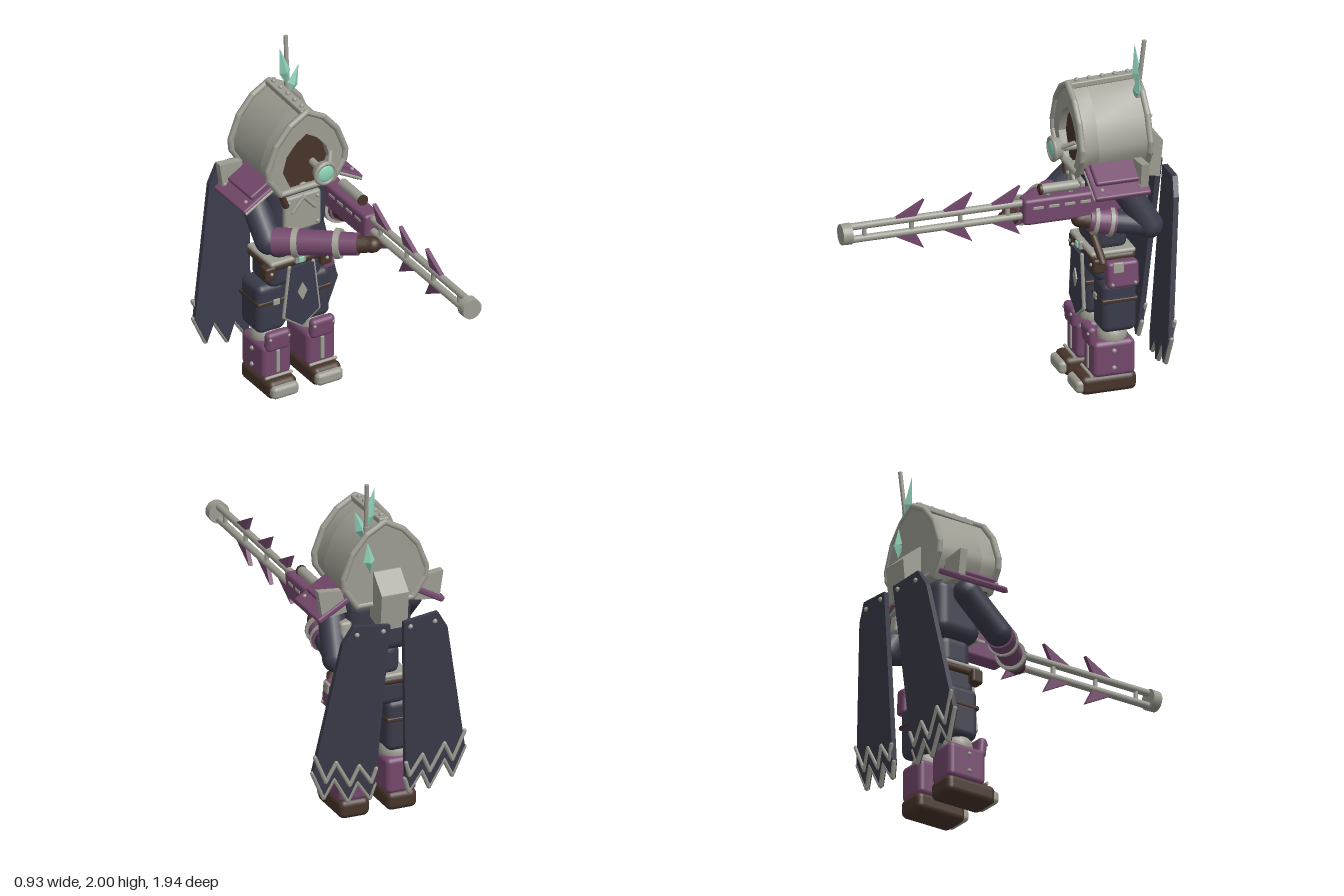
import * as THREE from 'three';
import { toCreasedNormals } from 'three/addons/utils/BufferGeometryUtils.js';
import { RoundedBoxGeometry } from 'three/addons/geometries/RoundedBoxGeometry.js';

const material = (name, color) => {
  const m = new THREE.MeshStandardMaterial({ color });
  m.name = name;
  return m;
};
const steel = material('pale steel', 0x9c9c92);
const purple = material('plum plate', 0x74486c);
const navy = material('navy cloth', 0x3a3b4a);
const brown = material('brown leather', 0x47342a);
const teal = material('teal crystal', 0x8fd1b8);

const V = (p) => new THREE.Vector3(...p);

function add(parent, name, geo, mat, pos = [0, 0, 0], rot = [0, 0, 0]) {
  const m = new THREE.Mesh(geo, mat);
  m.name = name;
  m.position.set(...pos);
  m.rotation.set(...rot);
  parent.add(m);
  return m;
}
const block = (p, name, mat, size, pos, r = 0.02, rot) =>
  add(p, name, new RoundedBoxGeometry(...size, 3, Math.min(r, Math.min(...size) * 0.49)), mat, pos, rot);
const rivet = (p, pos, r = 0.012, mat = steel) => add(p, 'rivet', new THREE.SphereGeometry(r, 10, 8), mat, pos);

// Cylinder running from a to b
function rod(p, name, mat, a, b, r0, r1 = r0, sides = 14) {
  const d = V(b).sub(V(a));
  const m = add(p, name, new THREE.CylinderGeometry(r1, r0, d.length(), sides), mat);
  m.position.copy(V(a)).addScaledVector(d, 0.5);
  m.quaternion.setFromUnitVectors(new THREE.Vector3(0, 1, 0), d.normalize());
  return m;
}
// Rounded limb running from a to b
function limb(p, name, mat, a, b, r) {
  const m = rod(p, name, mat, a, b, r);
  m.geometry = new THREE.CapsuleGeometry(r, V(a).distanceTo(V(b)), 6, 18);
}
// Jointed trim along a list of points
function trim(p, name, mat, pts, r) {
  const g = new THREE.Group();
  g.name = name;
  pts.forEach((a, i) => {
    add(g, 'joint', new THREE.SphereGeometry(r, 8, 6), mat, a);
    if (i) rod(g, 'bar', mat, pts[i - 1], a, r, r, 8);
  });
  p.add(g);
}
const shapeOf = (pts) => new THREE.Shape(pts.map(([x, y]) => new THREE.Vector2(x, y)));
const slab = (shape, depth) => new THREE.ExtrudeGeometry(shape, { depth, bevelEnabled: false });
const mirrored = (half) => [...half, ...half.filter(([x]) => x > 0).reverse().map(([x, y]) => [-x, y])];

function buildLeg(root, s) {
  const g = new THREE.Group();
  g.name = s > 0 ? 'leftLeg' : 'rightLeg';
  g.position.x = s * 0.14;
  root.add(g);
  block(g, 'boot', brown, [0.18, 0.11, 0.32], [0, 0.055, -0.56], 0.035);
  block(g, 'toeCap', steel, [0.165, 0.075, 0.08], [0, 0.052, -0.412], 0.025);
  rod(g, 'bootBar', steel, [-0.085, 0.113, -0.46], [0.085, 0.113, -0.46], 0.009);
  block(g, 'shinArmour', purple, [0.18, 0.21, 0.24], [0, 0.2, -0.59], 0.03);
  block(g, 'shinStrip', steel, [0.022, 0.14, 0.02], [0, 0.2, -0.47], 0.005);
  add(g, 'kneeJoint', new THREE.SphereGeometry(0.085, 20, 14), steel, [0, 0.31, -0.6]);
  block(g, 'kneePlate', purple, [0.15, 0.12, 0.055], [0, 0.33, -0.475], 0.025, [0.1, 0, 0]);
  block(g, 'thigh', navy, [0.18, 0.3, 0.2], [0, 0.5, -0.62], 0.04);
  block(g, 'thighStrap', brown, [0.186, 0.025, 0.206], [0, 0.54, -0.62], 0.008);
  block(g, 'strapBuckle', steel, [0.04, 0.035, 0.012], [-s * 0.02, 0.54, -0.515], 0.004);
  for (const y of [0.15, 0.25]) rivet(g, [s * 0.092, y, -0.585], 0.013);
  for (const x of [-0.058, 0.058]) rivet(g, [x, 0.355, -0.448], 0.01);
}

function buildTorso(root) {
  const g = new THREE.Group();
  g.name = 'torso';
  root.add(g);
  block(g, 'pelvis', navy, [0.34, 0.17, 0.22], [0, 0.71, -0.61], 0.05);
  block(g, 'abdomen', navy, [0.28, 0.2, 0.21], [0, 0.89, -0.6], 0.06);
  block(g, 'chest', navy, [0.38, 0.34, 0.3], [0, 1.13, -0.61], 0.07);
  block(g, 'chestPlate', steel, [0.23, 0.22, 0.04], [0, 1.11, -0.455], 0.015);
  trim(g, 'chestChevron', steel, [[-0.07, 1.13, -0.43], [0, 1.21, -0.43], [0.07, 1.13, -0.43]], 0.011);
  rivet(g, [0, 1.27, -0.44], 0.028);
  for (const x of [-0.09, 0.09]) for (const y of [1.03, 1.19]) rivet(g, [x, y, -0.434]);
  rod(g, 'sash', brown, [-0.15, 1.29, -0.43], [-0.11, 1.18, -0.43], 0.018);
  rod(g, 'sash', brown, [0.11, 0.92, -0.5], [0.21, 0.76, -0.53], 0.022);
  // Belt, buckle and pouches
  block(g, 'leatherBelt', brown, [0.37, 0.05, 0.25], [0, 0.775, -0.605], 0.03);
  block(g, 'steelBelt', steel, [0.36, 0.03, 0.26], [0, 0.803, -0.6], 0.015);
  block(g, 'buckle', steel, [0.065, 0.05, 0.03], [0, 0.803, -0.47], 0.008);
  block(g, 'buckleGem', teal, [0.034, 0.034, 0.012], [0, 0.803, -0.452], 0.004);
  for (const s of [-1, 1]) {
    block(g, 'pouch', brown, [0.07, 0.085, 0.07], [s * 0.175, 0.745, -0.51], 0.015);
    rivet(g, [s * 0.175, 0.75, -0.473], 0.01);
  }
  // Hanging front cloth
  const hem = [[0.075, 0.77], [0.11, 0.47], [0, 0.39], [-0.11, 0.47], [-0.075, 0.77]];
  add(g, 'tabard', slab(shapeOf(hem), 0.02), navy, [0, 0, -0.465]);
  trim(g, 'tabardTrim', steel, hem.map(([x, y]) => [x, y, -0.455]), 0.011);
  add(g, 'tabardDiamond', slab(shapeOf([[0, 0.555], [0.03, 0.61], [0, 0.665], [-0.03, 0.61]]), 0.008), steel, [0, 0, -0.446]);
  // Single hip plate on the left side
  const hip = new THREE.Group();
  hip.name = 'hipPlate';
  hip.position.set(0.225, 0.7, -0.63);
  hip.rotation.z = 0.08;
  g.add(hip);
  block(hip, 'plate', purple, [0.075, 0.15, 0.18], [0, 0, 0], 0.02);
  block(hip, 'plateClasp', steel, [0.02, 0.06, 0.06], [0.036, 0.045, 0.03], 0.006);
  for (const z of [-0.065, 0.065]) rivet(hip, [0.038, -0.05, z], 0.01);
}

function buildHood(root) {
  const g = new THREE.Group();
  g.name = 'hood';
  root.add(g);
  const half = [[0.155, 1.28], [0.225, 1.39], [0.23, 1.45], [0.18, 1.59], [0.1, 1.69], [0, 1.75]];
  const outline = mirrored(half);
  const opening = mirrored([[0.09, 1.285], [0.15, 1.42], [0.125, 1.51], [0.065, 1.58], [0, 1.62]]);
  const mouth = shapeOf(outline);
  mouth.holes.push(new THREE.Path(opening.map(([x, y]) => new THREE.Vector2(x, y))));
  add(g, 'hoodFront', toCreasedNormals(slab(mouth, 0.1), 0.6), steel, [0, 0, -0.5]);
  add(g, 'hoodShell', toCreasedNormals(slab(shapeOf(outline), 0.3), 0.6), steel, [0, 0, -0.8]);
  add(g, 'faceShadow', slab(shapeOf(opening), 0.008), brown, [0, 0, -0.45]);
  for (const z of [-0.4, -0.79]) {
    const pts = outline.map(([x, y]) => [x * 1.06, y + 0.008, z]);
    trim(g, 'hoodRim', steel, [...pts, pts[0]], 0.018);
  }
  // Ridge strip with rivets
  block(g, 'ridgeStrip', steel, [0.06, 0.035, 0.38], [0, 1.755, -0.595], 0.008, [0.03, 0, 0]);
  for (let i = 0; i < 5; i++) rivet(g, [0, 1.772 + i * 0.002, -0.45 - i * 0.073], 0.014);
  // Goggle on a bracket
  const ring = [Math.PI / 2, 0, 0];
  add(g, 'goggleHousing', new THREE.CylinderGeometry(0.07, 0.055, 0.045, 24), steel, [0.055, 1.41, -0.315], ring);
  add(g, 'goggleRing', new THREE.TorusGeometry(0.06, 0.013, 8, 24), steel, [0.055, 1.41, -0.293]);
  add(g, 'goggleLens', new THREE.SphereGeometry(0.055, 20, 12), teal, [0.055, 1.41, -0.295]).scale.z = 0.35;
  rod(g, 'goggleStem', steel, [0.055, 1.41, -0.34], [0.06, 1.41, -0.45], 0.02);
  rod(g, 'goggleArm', steel, [0.1, 1.43, -0.325], [0.145, 1.47, -0.39], 0.012);
  // Back pack box
  const pack = slab(shapeOf([[0.76, 1.2], [0.9, 1.17], [0.92, 1.38], [0.81, 1.48], [0.76, 1.48]]), 0.16);
  add(g, 'backBox', pack.rotateY(Math.PI / 2), steel, [-0.085, 0, 0]);
  // Mast with crystal leaves
  rod(g, 'mast', steel, [0.1, 1.6, -0.755], [0.11, 2, -0.8], 0.012);
  rod(g, 'mastSocket', steel, [0.1, 1.62, -0.757], [0.102, 1.74, -0.77], 0.018);
  const leaves = [
    [[0.105, 1.7, -0.765], [0.05, 1.955, -0.765]],
    [[0.1, 1.65, -0.755], [0.16, 1.83, -0.75]],
    [[0.1, 1.48, -0.82], [0.11, 1.66, -0.81]],
  ];
  for (const [a, b] of leaves) {
    const mid = V(a).lerp(V(b), 0.4).toArray();
    for (const end of [a, b]) {
      const half = rod(g, 'crystalLeaf', teal, mid, end, 0.034, 0.001, 4);
      half.geometry = half.geometry.toNonIndexed();
      half.geometry.computeVertexNormals();
      half.scale.z = 0.75;
    }
  }
}

function buildShoulder(root, s) {
  const g = new THREE.Group();
  g.name = s > 0 ? 'leftShoulder' : 'rightShoulder';
  root.add(g);
  block(g, 'pauldron', purple, [0.23, 0.035, 0.32], [s * 0.272, 1.268, -0.59], 0.012, [0, 0, -s * 0.52]);
  block(g, 'pauldronLayer', purple, [0.17, 0.035, 0.27], [s * 0.24, 1.315, -0.59], 0.012, [0, 0, -s * 0.52]);
  rod(g, 'pauldronEdge', steel, [s * 0.19, 1.31, -0.432], [s * 0.365, 1.21, -0.432], 0.009);
  for (const z of [-0.48, -0.7]) rivet(g, [s * 0.335, 1.253, z], 0.012);
  const fin = [[0.2, 1.24], [0.23, 1.37], [0.37, 1.385], [0.345, 1.22]].map(([x, y]) => [x * s, y]);
  add(g, 'shoulderFin', slab(shapeOf(fin), 0.045), steel, [0, 0, -0.74]);
}

// Arm from shoulder to elbow to wrist, with steel cuffs on the forearm
function buildArm(root, name, shoulder, elbow, wrist, cuffs, start) {
  const g = new THREE.Group();
  g.name = name;
  root.add(g);
  const at = (t) => V(elbow).lerp(V(wrist), t).toArray();
  limb(g, 'upperArm', navy, shoulder, elbow, 0.075);
  limb(g, 'innerForearm', navy, elbow, at(start), 0.062);
  rod(g, 'forearmPlate', purple, at(start), at(0.95), 0.078, 0.062, 20);
  for (const t of cuffs) rod(g, 'cuff', steel, at(t - 0.03), at(t + 0.03), 0.085, 0.082, 20);
  rod(g, 'glove', brown, at(0.93), at(1.06), 0.052, 0.045);
  limb(g, 'hand', brown, at(1.03), at(1.1), 0.045);
}

function buildCape(root, s) {
  const g = new THREE.Group();
  g.name = s > 0 ? 'leftCape' : 'rightCape';
  root.add(g);
  const hem = [[0.45, 0.37], [0.38, 0.21], [0.325, 0.32], [0.24, 0.17], [0.19, 0.28], [0.115, 0.17], [0.09, 0.25]];
  const lean = (x, y) => -0.962 + 0.09 * (1.24 - y) + 0.08 * Math.abs(x);
  const pts = [[0.04, 1.22], [0.25, 1.24], [0.31, 1.14], ...hem].map(([x, y]) => [x * s, y]);
  const geo = slab(shapeOf(pts), 0.03);
  const p = geo.attributes.position;
  for (let i = 0; i < p.count; i++) p.setZ(i, p.getZ(i) + lean(p.getX(i), p.getY(i)));
  geo.computeVertexNormals();
  add(g, 'capePanel', geo, navy);
  trim(g, 'hemTrim', steel, hem.map(([x, y]) => [x * s, y, lean(x, y) + 0.01]), 0.013);
  trim(g, 'upperHemTrim', steel, hem.map(([x, y]) => [x * s * 0.985, y + 0.1, lean(x, y + 0.1)]), 0.012);
  for (const x of [0.08, 0.23]) rivet(g, [x * s, 1.19, lean(x, 1.19)], 0.014);
}

function buildLance(root) {
  const g = new THREE.Group();
  g.name = 'longGun';
  g.position.x = 0.215;
  root.add(g);
  block(g, 'receiver', purple, [0.1, 0.15, 0.48], [0, 1.145, -0.3], 0.02);
  block(g, 'receiverRear', purple, [0.085, 0.12, 0.14], [0, 1.14, -0.57], 0.02);
  block(g, 'stock', steel, [0.07, 0.11, 0.17], [0, 1.13, -0.69], 0.02, [0.12, 0, 0]);
  for (const s of [-1, 1]) for (let i = 0; i < 4; i++)
    block(g, 'vent', steel, [0.008, 0.018, 0.06], [s * 0.05, 1.17, -0.14 - i * 0.09], 0.003);
  rod(g, 'scope', steel, [0, 1.255, -0.17], [0, 1.255, -0.38], 0.028);
  rod(g, 'scopeCap', brown, [0, 1.255, -0.16], [0, 1.255, -0.175], 0.03);
  for (const z of [-0.21, -0.34]) block(g, 'scopeMount', steel, [0.02, 0.05, 0.025], [0, 1.225, z], 0.004);
  // Twin rails with posts and muzzle
  for (const y of [1.19, 1.115]) rod(g, 'rail', steel, [0, y, -0.1], [0, y, 0.93], 0.02);
  for (const z of [0.02, 0.29, 0.57, 0.84]) rod(g, 'railPost', steel, [0, 1.11, z], [0, 1.195, z], 0.013);
  rod(g, 'muzzle', steel, [0, 1.152, 0.92], [0, 1.152, 0.975], 0.06, 0.058, 24);
  // Swept barbs above and below
  for (const z of [0.5, 0.225, -0.05]) for (const s of [-1, 1]) {
    const barb = [[z + 0.18, 0.045], [z, 0.142], [z + 0.05, 0.045]].map(([a, h]) => [-a, 1.153 + s * h]);
    add(g, 'barb', slab(shapeOf(barb), 0.024).rotateY(Math.PI / 2), purple, [-0.012, 0, 0]);
  }
}

export function createModel() {
  const root = new THREE.Group();
  root.name = 'armouredGunner';
  buildTorso(root);
  buildHood(root);
  for (const s of [1, -1]) {
    buildLeg(root, s);
    buildShoulder(root, s);
    buildCape(root, s);
  }
  buildArm(root, 'rightArm', [-0.23, 1.21, -0.6], [-0.24, 1.02, -0.4], [0.13, 1.08, -0.02], [0.3, 0.74], 0.06);
  buildArm(root, 'leftArm', [0.25, 1.2, -0.64], [0.28, 0.99, -0.77], [0.235, 1.05, -0.42], [0.62, 0.86], 0.55);
  buildLance(root);
  return root;
}
